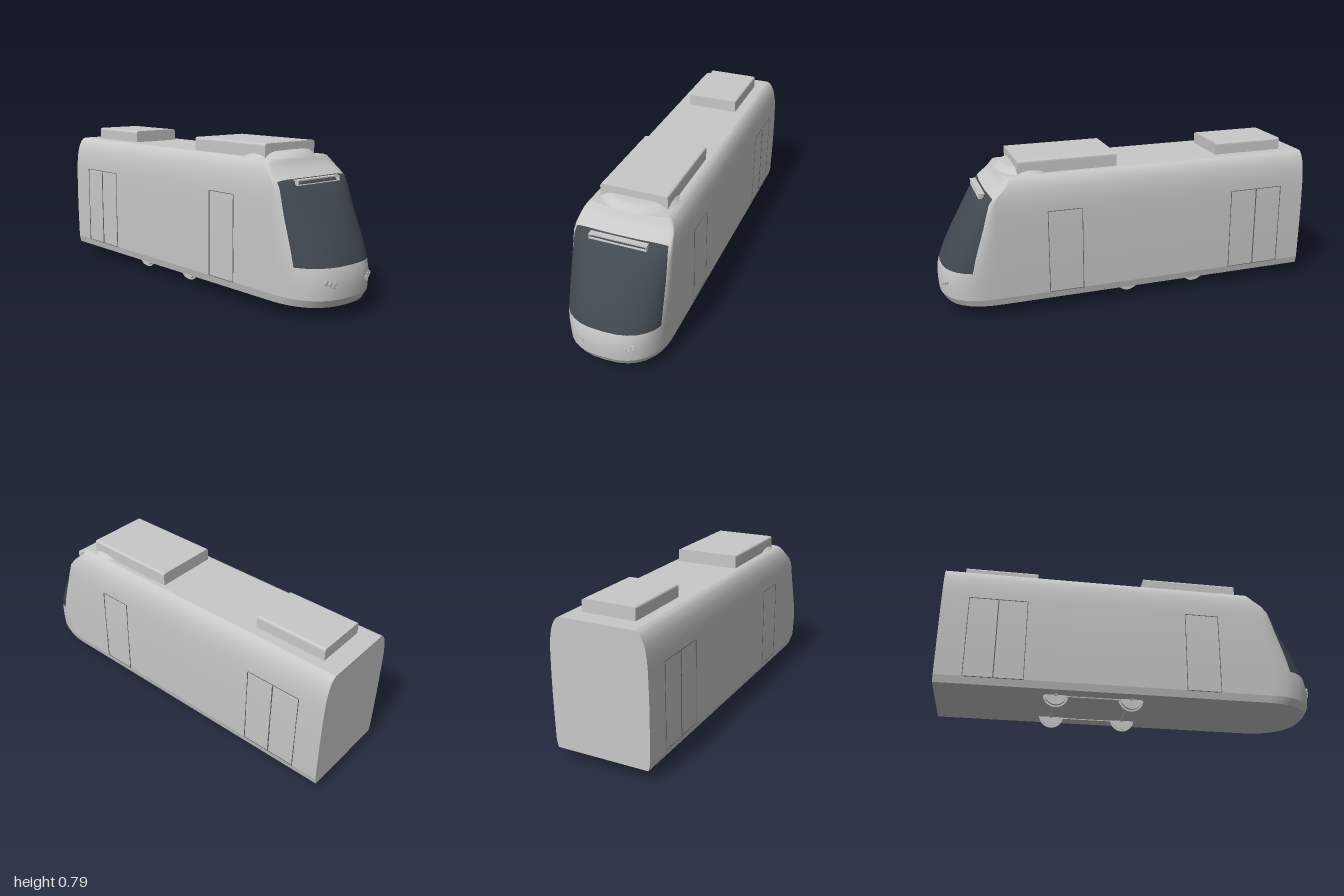
import * as THREE from 'three';

const mat = (name, color) => {
  const m = new THREE.MeshStandardMaterial({ color });
  m.name = name;
  return m;
};

// Shell levels: [height, half width, nose z, nose depth]
const LEVELS = [
  [0.062, 0.245, 0.975, 0.28], [0.1, 0.254, 0.997, 0.28], [0.15, 0.255, 1.0, 0.275],
  [0.2, 0.256, 0.998, 0.265], [0.25, 0.257, 0.985, 0.25], [0.32, 0.258, 0.955, 0.225],
  [0.4, 0.258, 0.912, 0.19], [0.48, 0.257, 0.865, 0.15], [0.55, 0.255, 0.822, 0.105],
  [0.6, 0.252, 0.785, 0.065], [0.635, 0.246, 0.745, 0.04], [0.66, 0.24, 0.712, 0.035],
  [0.68, 0.233, 0.69, 0.03], [0.7, 0.222, 0.676, 0.03], [0.714, 0.21, 0.669, 0.03],
  [0.721, 0.195, 0.664, 0.03],
];
const GLASS_BOTTOM = 4, GLASS_TOP = 10, POWER = 2.5;

function levelAt(y) {
  let i = 0;
  while (i < LEVELS.length - 2 && LEVELS[i + 1][0] < y) i++;
  const a = LEVELS[i], b = LEVELS[i + 1], t = (y - a[0]) / (b[0] - a[0]);
  return a.map((v, k) => v + (b[k] - v) * t);
}

// Angles around the nose; EDGE is where the windscreen ends
const EDGE = 1.183;
const half = [0.2, 0.4, 0.6, 0.8, 1.0, EDGE, 1.28, 1.38, 1.48, Math.PI / 2];
const angles = [...half.map(a => -a).reverse(), 0, ...half];
const COLS = angles.length + 2;

function shellPoint(row, col) {
  const side = col === 0 ? -1 : col === COLS - 1 ? 1 : 0;
  const a = side ? side * Math.PI / 2 : angles[col - 1];
  const f = Math.pow(Math.abs(Math.sin(a)), 2 / POWER);
  let y = LEVELS[row][0];
  // the windscreen's upper edge dips at its corners
  if (row === GLASS_TOP && Math.abs(a) <= EDGE) y -= 0.014 * Math.pow(f, 8);
  const [, w, zf, d] = levelAt(y);
  const z = zf - d * (1 - Math.pow(Math.max(0, Math.cos(a)), 2 / POWER));
  return [Math.sign(a) * f * w, y, side ? -1 : z];
}

// Smooth band of the shell; group 0 is paint, group 1 is glass
function shellBand(from, to) {
  const pos = [], paint = [], glass = [];
  for (let r = from; r <= to; r++) for (let c = 0; c < COLS; c++) pos.push(...shellPoint(r, c));
  for (let r = from; r < to; r++) for (let c = 0; c < COLS - 1; c++) {
    const a = (r - from) * COLS + c, b = a + 1, d = a + COLS, e = d + 1;
    const inside = c >= 1 && c < COLS - 2 &&
      Math.max(Math.abs(angles[c - 1]), Math.abs(angles[c])) <= EDGE + 1e-6;
    const isGlass = inside && r >= GLASS_BOTTOM && r < GLASS_TOP;
    (isGlass ? glass : paint).push(a, b, e, a, e, d);
  }
  const g = new THREE.BufferGeometry();
  g.setAttribute('position', new THREE.Float32BufferAttribute(pos, 3));
  g.setIndex([...paint, ...glass]);
  g.addGroup(0, paint.length, 0);
  g.addGroup(paint.length, glass.length, 1);
  g.computeVertexNormals();
  return g;
}

// Flat faces from a list of four-cornered panels
function panels(quads) {
  const pos = [];
  for (const [a, b, c, d] of quads) pos.push(...a, ...b, ...c, ...a, ...c, ...d);
  const g = new THREE.BufferGeometry();
  g.setAttribute('position', new THREE.Float32BufferAttribute(pos, 3));
  g.computeVertexNormals();
  return g;
}

export function createModel() {
  const root = new THREE.Group();
  root.name = 'tram';
  const paint = mat('bodyGrey', 0xc8c8c8);
  const glassMat = mat('windscreenGlass', 0x414951);
  const seamMat = mat('seamGrey', 0x666666);
  const add = (name, geo, m, x = 0, y = 0, z = 0) => {
    const mesh = new THREE.Mesh(geo, m);
    mesh.name = name;
    mesh.position.set(x, y, z);
    root.add(mesh);
    return mesh;
  };
  const box = (name, w, h, d, m, x, y, z) => add(name, new THREE.BoxGeometry(w, h, d), m, x, y, z);

  // Body shell
  const top = LEVELS.length - 1;
  add('skirt', shellBand(0, 1), [paint, glassMat]);
  add('bodyShell', shellBand(1, top), [paint, glassMat]);
  const cap = (row, up) => {
    const quads = [];
    for (let c = 0; c < (COLS - 1) / 2; c++) {
      const q = [shellPoint(row, c), shellPoint(row, c + 1),
        shellPoint(row, COLS - 2 - c), shellPoint(row, COLS - 1 - c)];
      quads.push(up ? q : q.reverse());
    }
    return panels(quads);
  };
  add('roof', cap(top, true), paint);
  add('floor', cap(0, false), paint);
  const rear = [];
  for (let r = 0; r < top; r++) {
    rear.push([shellPoint(r, COLS - 1), shellPoint(r, 0), shellPoint(r + 1, 0), shellPoint(r + 1, COLS - 1)]);
  }
  add('rearWall', panels(rear), paint);

  // Roof equipment boxes with softened upper corners
  const roofBox = (name, w, y1, z0, z1) => {
    const y0 = 0.715, r = 0.013, s = new THREE.Shape();
    s.moveTo(-w, y0);
    s.lineTo(w, y0);
    s.lineTo(w, y1 - r);
    s.quadraticCurveTo(w, y1, w - r, y1);
    s.lineTo(-w + r, y1);
    s.quadraticCurveTo(-w, y1, -w, y1 - r);
    add(name, new THREE.ExtrudeGeometry(s, { depth: z1 - z0, bevelEnabled: false, curveSegments: 4 }), paint, 0, 0, z0);
  };
  roofBox('frontRoofUnit', 0.173, 0.79, 0.07, 0.59);
  roofBox('rearRoofUnit', 0.14, 0.785, -0.9, -0.51);

  // Low fairing under the front roof unit
  const profile = [[1, 0], [0.93, 0.35], [0.82, 0.75], [0.7, 0.92], [0.4, 0.98], [0.001, 1]];
  const fairing = add('roofFairing',
    new THREE.LatheGeometry(profile.map(p => new THREE.Vector2(...p)), 40), paint, 0, 0.72, 0.52);
  fairing.scale.set(0.197, 0.033, 0.155);

  // Destination display frame
  box('displayTopBar', 0.294, 0.006, 0.03, paint, 0, 0.63, 0.768);
  box('displayBottomBar', 0.294, 0.003, 0.012, paint, 0, 0.608, 0.778);
  for (const s of [-1, 1]) box('displaySideBar', 0.005, 0.024, 0.022, paint, s * 0.1445, 0.62, 0.771);

  for (const s of [-1, 1]) {
    // Headlight clusters
    [[0.15, 0.184], [0.131, 0.177], [0.112, 0.169]].forEach(([x, y]) => {
      const [, w, zf, d] = levelAt(y);
      const z = zf - d * (1 - Math.pow(1 - Math.pow(x / w, POWER), 1 / POWER));
      const lamp = new THREE.CylinderGeometry(0.009, 0.009, 0.012, 20).rotateX(Math.PI / 2);
      add('headlight', lamp, paint, s * x, y, z - 0.002);
      add('headlightRing', new THREE.TorusGeometry(0.0105, 0.0025, 8, 24), paint, s * x, y, z + 0.003);
    });

    // Door seams
    const seam = (z, y, dz, dy) => {
      const half = levelAt(y)[1];
      box('doorSeam', 0.003, dy, dz, seamMat, s * half, y, z);
    };
    seam(-0.71, 0.32, 0.005, 0.44);
    for (const z of [-0.86, -0.56, 0.28, 0.46]) seam(z, 0.32, 0.003, 0.44);
    for (const y of [0.1, 0.54]) {
      seam(-0.71, y, 0.3, 0.003);
      seam(0.37, y, 0.18, 0.003);
    }

    // Wheels with inner flanges
    for (const z of [0, -0.39]) {
      const disc = (r, t) => new THREE.CylinderGeometry(r, r, t, 32).rotateZ(Math.PI / 2);
      add('wheelTread', disc(0.056, 0.024), paint, s * 0.163, 0.066, z);
      add('wheelFlange', disc(0.065, 0.007), paint, s * 0.156, 0.066, z);
    }
    box('bogieRail', 0.008, 0.012, 0.39, paint, s * 0.163, 0.063, -0.195);
  }

  // Axles
  for (const z of [0, -0.39]) {
    add('axle', new THREE.CylinderGeometry(0.008, 0.008, 0.38, 16).rotateZ(Math.PI / 2), paint, 0, 0.064, z);
  }
  return root;
}
